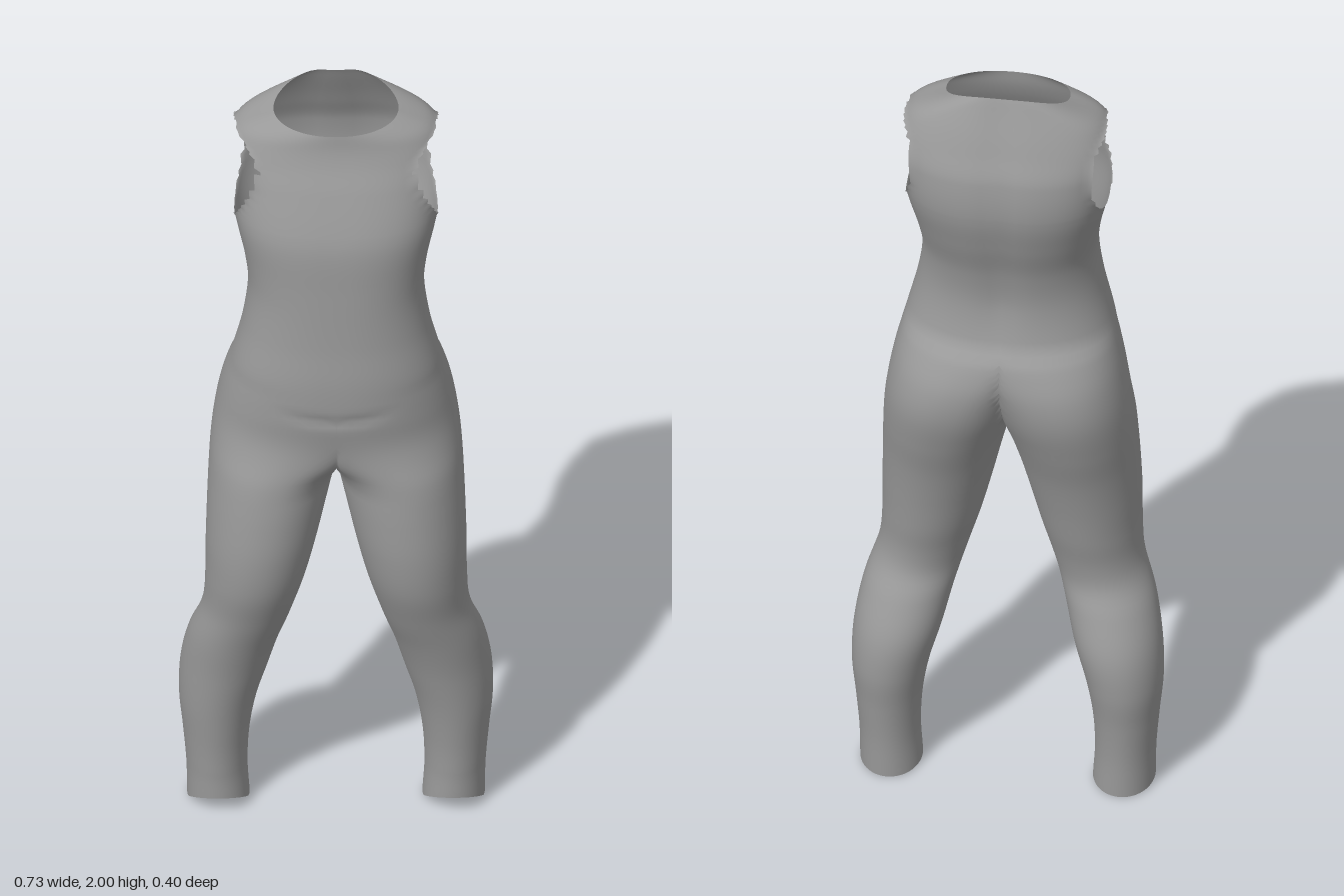
import * as THREE from 'three';
import { mergeVertices } from 'three/addons/utils/BufferGeometryUtils.js';

// Body profiles as [height, value] pairs
const OUTER = [[0, .345], [.1, .347], [.2, .355], [.3, .364], [.4, .36], [.5, .342], [.6, .31], [.7, .303], [.8, .302],
  [1, .294], [1.1, .284], [1.2, .266], [1.3, .24], [1.4, .216], [1.5, .204], [1.58, .213], [1.69, .237], [1.78, .246],
  [1.86, .25], [1.9, .236], [1.92, .215], [1.94, .172], [1.95, .145]];
const INNER = [[0, .2], [.1, .205], [.2, .2], [.3, .183], [.4, .155], [.5, .13], [.6, .1], [.7, .07], [.8, .045], [.9, .022], [.98, .003]];
const INNER_FRONT = [[.98, .003], [1.02, -.03], [1.07, -.12], [1.14, -.24], [1.2, -.266]];
const INNER_BACK = [[.98, .003], [1.05, -.02], [1.15, -.06], [1.22, -.12], [1.29, -.243]];
const FRONT = [[0, .062], [.1, .064], [.2, .072], [.4, .102], [.5, .126], [.6, .157], [.7, .188], [.8, .2], [.9, .198], [1, .19],
  [1.1, .182], [1.2, .194], [1.3, .195], [1.4, .186], [1.55, .178], [1.65, .173], [1.7, .163], [1.8, .124], [1.86, .096],
  [1.9, .084], [1.95, .078]];
const BACK = [[0, -.11], [.1, -.114], [.2, -.125], [.3, -.139], [.4, -.135], [.5, -.1], [.56, -.073], [.62, -.073], [.7, -.09],
  [.8, -.11], [.9, -.135], [1, -.168], [1.1, -.195], [1.18, -.197], [1.25, -.178], [1.275, -.165], [1.29, -.147], [1.4, -.129],
  [1.5, -.142], [1.6, -.174], [1.7, -.198], [1.8, -.194], [1.86, -.172], [1.9, -.152], [1.95, -.115]];
const SQUARENESS = [[0, 2], [.9, 2.05], [1.15, 2.2], [1.4, 2.3], [1.7, 2.6], [1.86, 2.5], [1.95, 2.1]];

// Smooth cubic interpolation through the pairs
function sample(keys, y) {
  const last = keys.length - 1;
  if (y <= keys[0][0]) return keys[0][1];
  if (y >= keys[last][0]) return keys[last][1];
  let i = 0;
  while (y > keys[i + 1][0]) i++;
  const slope = (k) => {
    const a = keys[Math.max(k - 1, 0)], b = keys[Math.min(k + 1, last)];
    return (b[1] - a[1]) / (b[0] - a[0]);
  };
  const [y0, p0] = keys[i], [y1, p1] = keys[i + 1], h = y1 - y0, t = (y - y0) / h;
  const t2 = t * t, t3 = t2 * t;
  return (2 * t3 - 3 * t2 + 1) * p0 + (t3 - 2 * t2 + t) * h * slope(i) + (3 * t2 - 2 * t3) * p1 + (t3 - t2) * h * slope(i + 1);
}

const TOP = 1.95;
const ARM = { y: 1.79, z: -.028, ry: .118, rz: .118 };

// One point of the left half: a full loop on the leg, cut at the middle on the torso
function surfacePoint(a, v) {
  const c = Math.cos(a), s = Math.sin(a), xo = sample(OUTER, v);
  let xi = sample(INNER, v);
  if (v > .98) {
    const isFront = s >= 0;
    xi = v >= (isFront ? 1.2 : 1.29) ? -xo : sample(isFront ? INNER_FRONT : INNER_BACK, v);
  }
  const zf = sample(FRONT, v), zb = sample(BACK, v), e = 2 / sample(SQUARENESS, v);
  const bend = (q) => Math.abs(q) < 1e-9 ? 0 : Math.sign(q) * Math.abs(q) ** e;
  let x = (xo + xi) / 2 + (xo - xi) / 2 * bend(c);
  let z = (zf + zb) / 2 + (zf - zb) / 2 * bend(s);
  let y = v;
  if (v > .97 && x < 1e-5) x = 0;
  // Spine hollow and the curved fold below the belly
  if (s < 0 && v > 1.3) z += .007 * Math.exp(-((x / .04) ** 2)) * Math.min(1, (v - 1.3) / .1);
  if (s > 0) z -= .006 * Math.exp(-(((v - 1.205 - .9 * x * x) / .012) ** 2)) * Math.exp(-((x / .11) ** 4));
  // Neckline rises at the back, ankle hem rises at the front
  if (v > 1.86) {
    const k = ((v - 1.86) / (TOP - 1.86)) ** 2;
    y += k * (z < 0 ? .048 * Math.min(1, (z / .112) ** 2) : -.014 * z / .078);
  }
  if (v < .12) y += (1 - v / .12) * (z > 0 ? .012 + .035 * z / .062 : .012 * (1 + z / .11));
  return new THREE.Vector3(x, y, z);
}

function bodysuitGeometry() {
  const N = 64, R = 150, points = [], insideArm = [];
  for (let j = 0; j <= R; j++) {
    // Rings are closer together over the shoulders
    const v = j < 110 ? 1.7 * j / 110 : 1.7 + .25 * (j - 110) / 40;
    for (let i = 0; i < N; i++) {
      const p = surfacePoint(i / N * Math.PI * 2, v);
      points.push(p);
      insideArm.push(p.x > .12 && Math.hypot((p.y - ARM.y) / ARM.ry, (p.z - ARM.z) / ARM.rz) < 1);
    }
  }
  // Keep faces outside the armhole and off the middle plane
  const faces = [];
  const addFace = (...f) => {
    if (f.every((k) => insideArm[k]) || f.every((k) => points[k].x < 1e-5)) return;
    faces.push(f);
  };
  for (let j = 0; j < R; j++) for (let i = 0; i < N; i++) {
    const n = (i + 1) % N, a = j * N + i, b = j * N + n, c = a + N, d = b + N;
    addFace(a, c, b);
    addFace(b, c, d);
  }
  // Pull the remaining inner corners onto the armhole rim
  points.forEach((p, k) => {
    if (!insideArm[k]) return;
    const dy = (p.y - ARM.y) / ARM.ry, dz = (p.z - ARM.z) / ARM.rz, d = Math.hypot(dy, dz) || 1;
    p.y = ARM.y + dy / d * ARM.ry;
    p.z = ARM.z + dz / d * ARM.rz;
  });
  // Mirror the half and weld it along the middle
  const pos = [];
  for (const side of [1, -1]) for (const f of faces) {
    for (const k of side > 0 ? f : [f[0], f[2], f[1]]) pos.push(side * points[k].x, points[k].y, points[k].z);
  }
  let g = new THREE.BufferGeometry();
  g.setAttribute('position', new THREE.Float32BufferAttribute(pos, 3));
  g = mergeVertices(g, 1e-5);
  g.computeVertexNormals();
  return g;
}

export function createModel() {
  const group = new THREE.Group();
  group.name = 'sleevelessBodysuit';
  const fabric = new THREE.MeshStandardMaterial({ color: 0x999999, side: THREE.DoubleSide });
  fabric.name = 'grey fabric';
  const suit = new THREE.Mesh(bodysuitGeometry(), fabric);
  suit.name = 'bodysuit';
  group.add(suit);
  return group;
}
